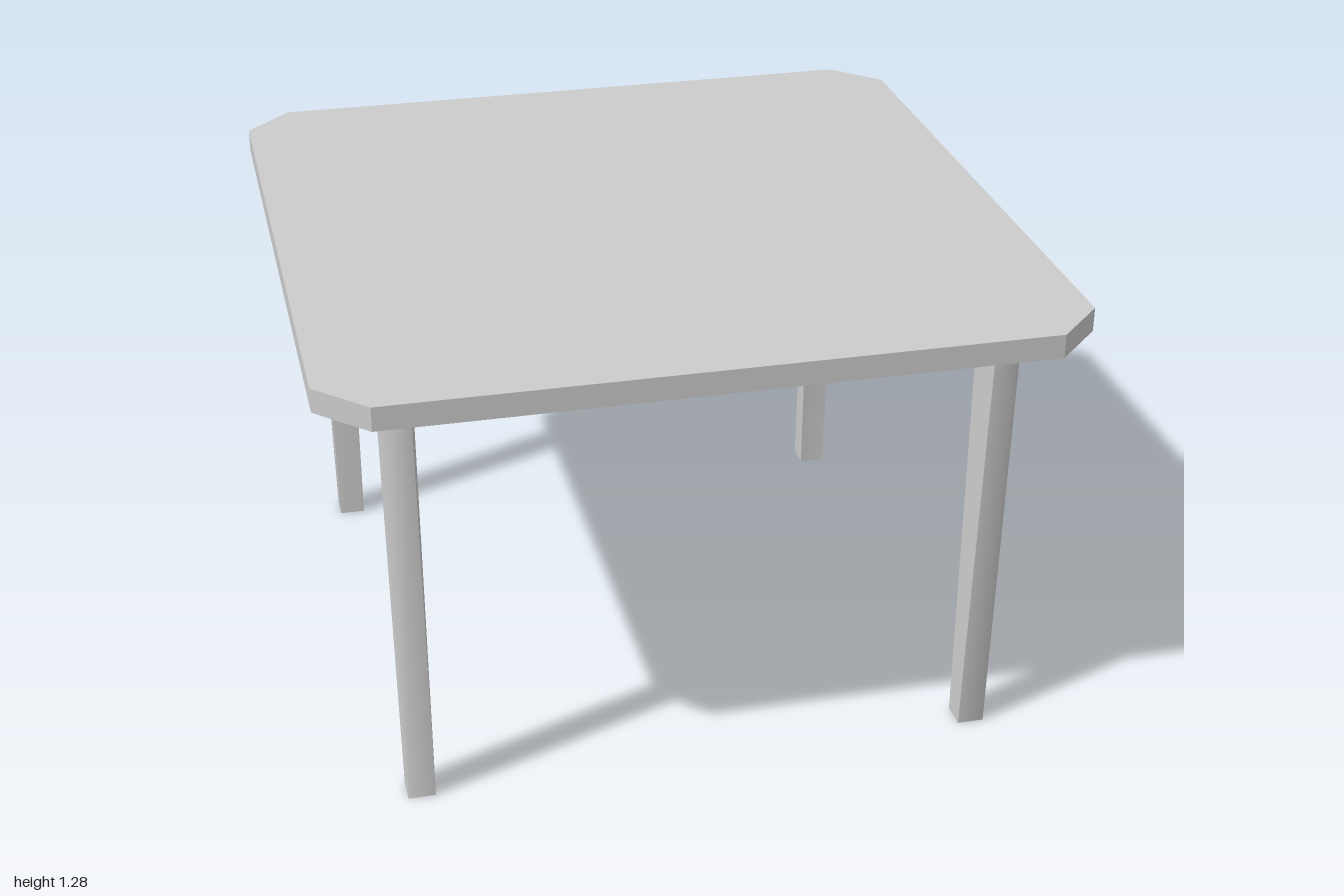
import * as THREE from 'three';
import { toCreasedNormals } from 'three/addons/utils/BufferGeometryUtils.js';

const material = new THREE.MeshStandardMaterial({ color: 0xcccccc });

// Solid between two convex outlines of [x, z] points, anticlockwise from above
function loft(name, lower, upper, y0, y1, crease) {
  const n = lower.length;
  const positions = [];
  const index = [];
  lower.forEach(([x, z]) => positions.push(x, y0, z));
  upper.forEach(([x, z]) => positions.push(x, y1, z));
  for (let i = 0; i < n; i++) {
    const j = (i + 1) % n;
    index.push(i, j, n + j, i, n + j, n + i);
    if (i > 0 && i < n - 1) index.push(0, i + 1, i, n, n + i, n + i + 1);
  }
  const geometry = new THREE.BufferGeometry();
  geometry.setAttribute('position', new THREE.Float32BufferAttribute(positions, 3));
  geometry.setIndex(index);
  const mesh = new THREE.Mesh(toCreasedNormals(geometry, crease), material);
  mesh.name = name;
  return mesh;
}

// Square outline with cut corners
function cutSquare(half, cut) {
  const k = half - cut;
  return [[k, half], [half, k], [half, -k], [k, -half], [-k, -half], [-half, -k], [-half, k], [-k, half]];
}

// Leg outline: inner corner, edge where the inner faces start, outer face, corner cut
function legOutline(inner, edge, outer, cut) {
  return [[outer - cut, outer], [outer, outer - cut], [outer, edge], [inner, inner], [edge, outer]];
}

export function createModel() {
  const table = new THREE.Group();
  table.name = 'table';

  const topY = 1.285, underY = 1.22, frameY = 1.145;

  // Table top with cut corners
  const top = cutSquare(1, 0.13);
  table.add(loft('tableTop', top, top, underY, topY, 0.1));

  // Frame under the top, flush with the legs
  table.add(loft('frame', cutSquare(0.833, 0.026), cutSquare(0.835, 0.028), frameY, underY, 0.1));

  // Four legs flaring outwards, their corner cut growing towards the frame
  for (let i = 0; i < 4; i++) {
    const leg = loft('leg', legOutline(0.738, 0.738, 0.812, 0.002),
      legOutline(0.738, 0.755, 0.833, 0.026), 0, frameY, 0.9);
    leg.rotation.y = i * Math.PI / 2;
    table.add(leg);
  }
  return table;
}
